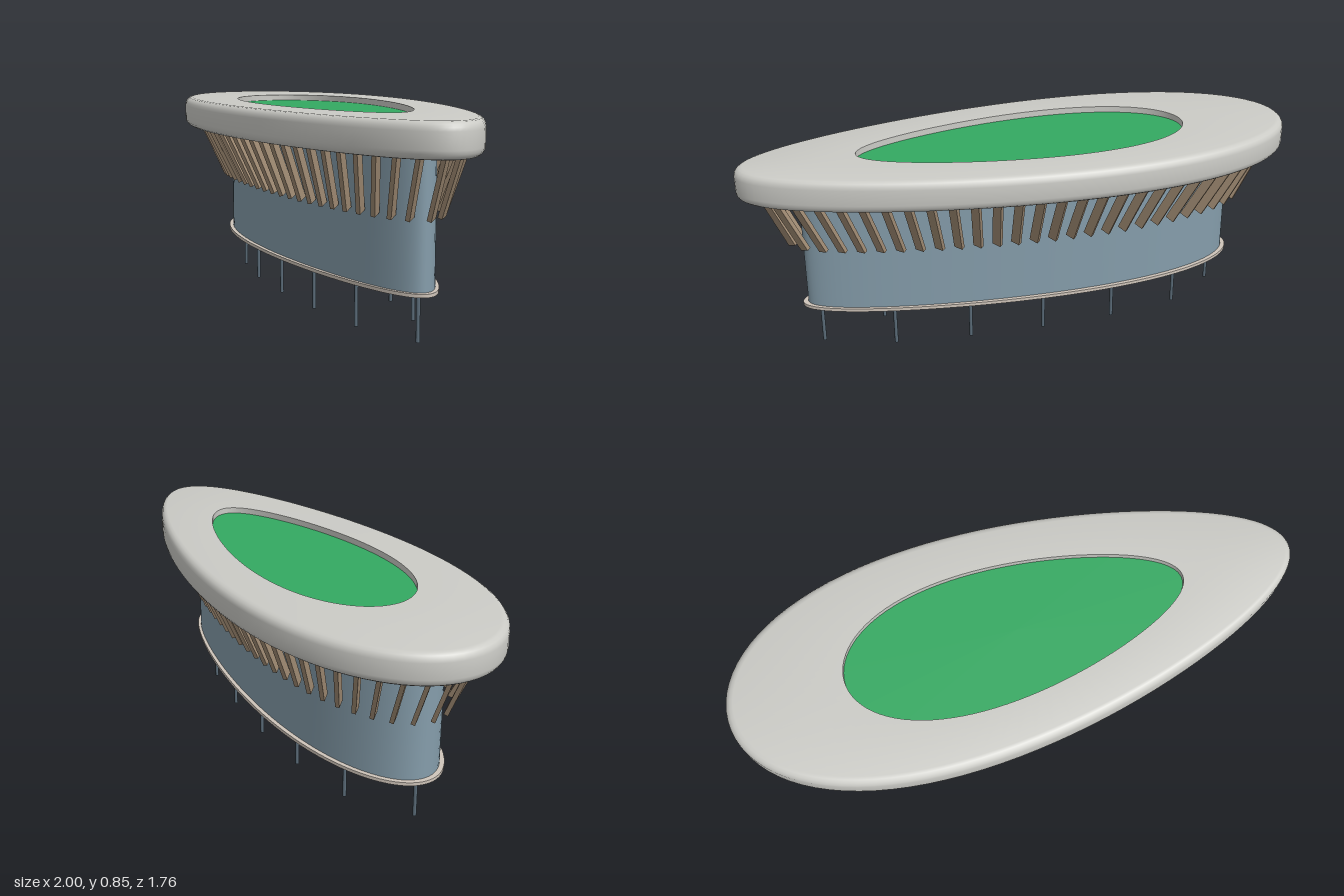
import * as THREE from 'three';
import { toCreasedNormals } from 'three/addons/utils/BufferGeometryUtils.js';

const ANGLE = THREE.MathUtils.degToRad(39.9);
const CX = 0.022, CZ = 0.035, TAPER = 0.245, SEGMENTS = 96;

// Point on an egg outline: a = half length, b = half width, blunt end towards -x -z
function eggPoint(a, b, y, t) {
  const u = a * Math.cos(t);
  const v = b * Math.sin(t) * (1 - TAPER * Math.cos(t));
  const c = Math.cos(ANGLE), s = Math.sin(ANGLE);
  return new THREE.Vector3(CX + u * c - v * s, y, CZ + u * s + v * c);
}

// Points at equal distances along an egg outline
function spacedEgg(a, b, y, count) {
  const pts = [];
  for (let i = 0; i < SEGMENTS; i++) pts.push(eggPoint(a, b, y, (i / SEGMENTS) * Math.PI * 2));
  return new THREE.CatmullRomCurve3(pts, true).getSpacedPoints(count).slice(0, count);
}

// Surface through egg outlines [a, b, y], listed from the bottom outwards and up
function loft(profile) {
  const pos = [];
  const add = (...pts) => pts.forEach((p) => pos.push(p.x, p.y, p.z));
  for (let i = 0; i < profile.length - 1; i++) {
    const lo = profile[i], hi = profile[i + 1];
    for (let j = 0; j < SEGMENTS; j++) {
      const t0 = (j / SEGMENTS) * Math.PI * 2, t1 = ((j + 1) / SEGMENTS) * Math.PI * 2;
      const p = eggPoint(...lo, t0), q = eggPoint(...lo, t1);
      const r = eggPoint(...hi, t0), s = eggPoint(...hi, t1);
      if (lo[0] > 0) add(p, r, q);
      if (hi[0] > 0) add(r, s, q);
    }
  }
  const g = new THREE.BufferGeometry();
  g.setAttribute('position', new THREE.Float32BufferAttribute(pos, 3));
  g.computeVertexNormals();
  return toCreasedNormals(g, 0.6);
}

// Solid egg-shaped slab
const slab = (a, b, y0, y1) => loft([[0, 0, y0], [a, b, y0], [a, b, y1], [0, 0, y1]]);

export function createModel() {
  const model = new THREE.Group();
  const mat = (name, color) => {
    const m = new THREE.MeshStandardMaterial({ color });
    m.name = name;
    return m;
  };
  const ringGrey = mat('ringGrey', 0xcbcbc6);
  const fieldGreen = mat('fieldGreen', 0x33a961);
  const wallBlue = mat('wallBlue', 0x859dab);
  const finBrown = mat('finBrown', 0xa18c74);
  const plateStone = mat('plateStone', 0xcfc5ba);
  const postSlate = mat('postSlate', 0x5a6b78);

  const add = (name, geometry, material, parent = model) => {
    const mesh = new THREE.Mesh(geometry, material);
    mesh.name = name;
    parent.add(mesh);
    return mesh;
  };

  // Roof ring with a rounded outer edge and a sharp opening
  const A = 1.237, B = 0.492, HA = 0.742, HB = 0.295;
  const edge = [];
  const R = 0.035, Y0 = 0.71, Y1 = 0.845;
  for (let i = 0; i <= 4; i++) {
    const q = (i / 4) * Math.PI / 2, d = R * (1 - Math.sin(q));
    edge.push([A - d, B - d, Y0 + R - R * Math.cos(q)]);
  }
  for (let i = 0; i <= 4; i++) {
    const q = (i / 4) * Math.PI / 2, d = R * (1 - Math.cos(q));
    edge.push([A - d, B - d, Y1 - R + R * Math.sin(q)]);
  }
  add('roofRing', loft([[HA, HB, Y0], ...edge, [HA, HB, Y1], [HA, HB, Y0]]), ringGrey);

  // Field set slightly below the rim
  add('field', slab(HA, HB, 0.725, 0.818), fieldGreen);

  // Enclosing wall and its base plate
  add('wall', slab(0.99, 0.272, 0.195, 0.72), wallBlue);
  add('basePlate', slab(1.012, 0.29, 0.187, 0.201), plateStone);

  // Slanted fins between the wall and the ring
  const fins = new THREE.Group();
  fins.name = 'fins';
  model.add(fins);
  const FINS = 56, UP = new THREE.Vector3(0, 1, 0);
  const feet = spacedEgg(1.03, 0.3, 0.478, FINS);
  const heads = spacedEgg(1.14, 0.41, 0.725, FINS);
  feet.forEach((foot, i) => {
    const dir = heads[i].clone().sub(foot);
    const fin = add('fin', new THREE.BoxGeometry(0.018, dir.length(), 0.04), finBrown, fins);
    fin.position.copy(foot).addScaledVector(dir, 0.5);
    fin.quaternion.setFromUnitVectors(UP, dir.normalize());
  });

  // Thin posts under the plate
  const posts = new THREE.Group();
  posts.name = 'posts';
  model.add(posts);
  const postGeometry = new THREE.CylinderGeometry(0.008, 0.008, 0.19, 10);
  spacedEgg(0.935, 0.205, 0.095, 12).forEach((p) => {
    add('post', postGeometry, postSlate, posts).position.copy(p);
  });

  return model;
}
